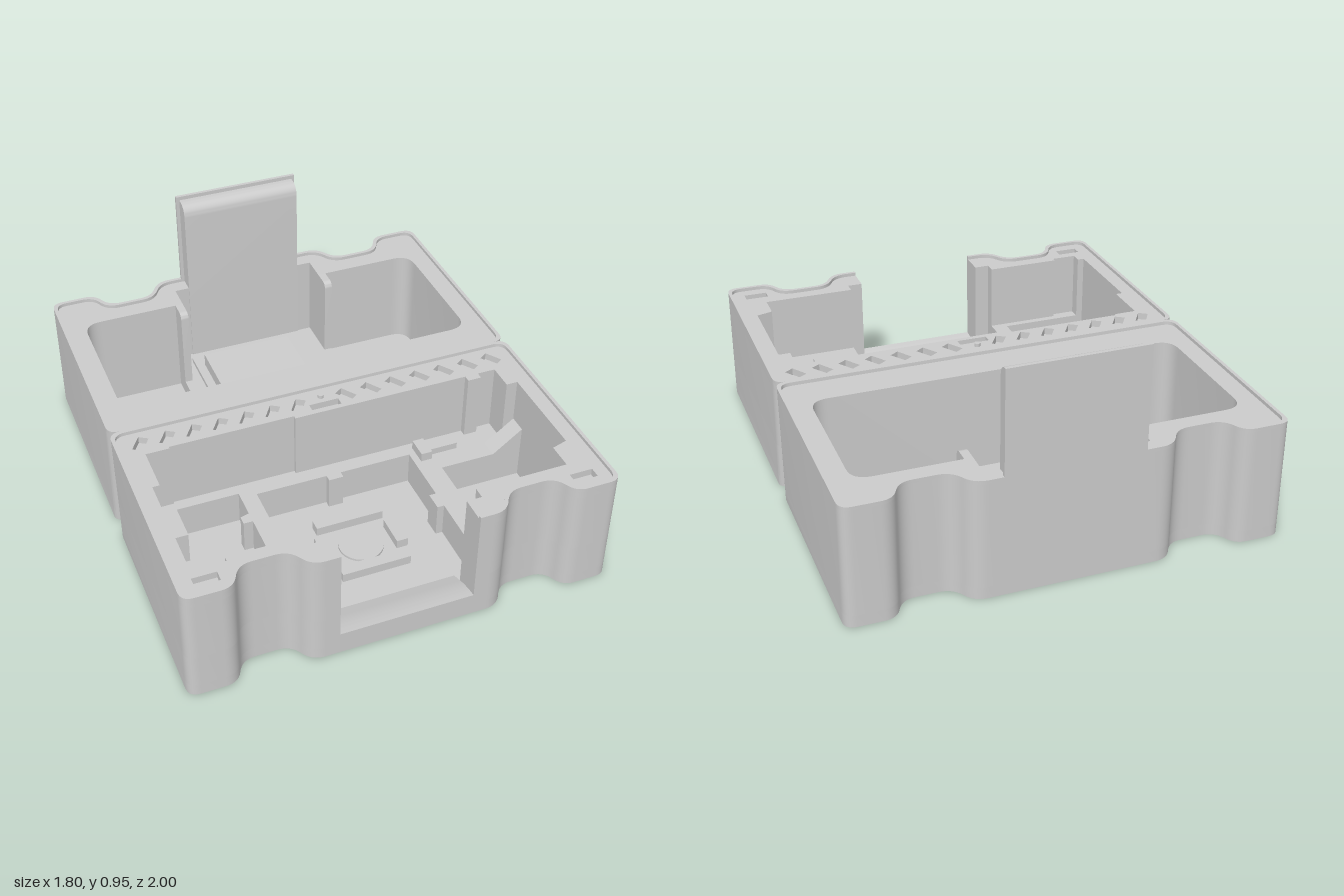
import * as THREE from 'three';
import { toCreasedNormals } from 'three/addons/utils/BufferGeometryUtils.js';

const TOP = 0.515, DECK = 0.5, SLOT = 0.47;
const grey = new THREE.MeshStandardMaterial({ color: 0xcccccc });

// Closed shape from [x, y, cornerRadius] points, always counter-clockwise
function roundedShape(points) {
  const clockwise = THREE.ShapeUtils.isClockWise(points.map(([x, y]) => ({ x, y })));
  const pts = clockwise ? [...points].reverse() : points;
  const shape = new THREE.Shape();
  pts.forEach(([x, y, r = 0], i) => {
    const p = new THREE.Vector2(x, y);
    const toward = (q) => new THREE.Vector2(q[0], q[1]).sub(p).setLength(r).add(p);
    const a = toward(pts[(i + pts.length - 1) % pts.length]);
    const b = toward(pts[(i + 1) % pts.length]);
    if (i === 0) shape.moveTo(a.x, a.y); else shape.lineTo(a.x, a.y);
    if (r) shape.quadraticCurveTo(p.x, p.y, b.x, b.y);
  });
  return shape;
}

function named(name, geometry) {
  const mesh = new THREE.Mesh(geometry, grey);
  mesh.name = name;
  return mesh;
}

// Horizontal slab between two heights; the hinge side leans away towards the bottom
function layer(name, pts, holes, y0, y1, side) {
  const flip = (list) => list.map(([x, z, r]) => [x, -z * side, r]);
  const shape = roundedShape(flip(pts));
  shape.holes = holes.map((h) => roundedShape(flip(h)));
  const geo = new THREE.ExtrudeGeometry(shape, { depth: y1 - y0, bevelEnabled: false, curveSegments: 8 });
  geo.rotateX(-Math.PI / 2).translate(0, y0, 0);
  const pos = geo.attributes.position;
  for (let i = 0; i < pos.count; i++) {
    const z = pos.getZ(i);
    pos.setZ(i, z + side * 0.038 * (1 - pos.getY(i) / TOP) * Math.max(0, 1 - Math.abs(z) / 0.1));
  }
  return named(name, toCreasedNormals(geo, 0.6));
}

// Side profile of [z, y, cornerRadius] points swept from x0 to x1
function sweep(name, profile, x0, x1) {
  const shape = roundedShape(profile.map(([z, y, r]) => [-z, y, r]));
  const geo = new THREE.ExtrudeGeometry(shape, { depth: x1 - x0, bevelEnabled: false, curveSegments: 10 });
  geo.rotateY(Math.PI / 2).translate(x0, 0, 0);
  return named(name, toCreasedNormals(geo, 0.6));
}

// Block whose upper front edge is rounded
const softBlock = (name, x0, x1, y0, y1, z0, z1, r) =>
  sweep(name, [[z0, y0], [z1, y0], [z1, y1, r], [z0, y1]], x0, x1);

function box(name, x0, x1, y0, y1, z0, z1) {
  const mesh = named(name, new THREE.BoxGeometry(x1 - x0, y1 - y0, z1 - z0));
  mesh.position.set((x0 + x1) / 2, (y0 + y1) / 2, (z0 + z1) / 2);
  return mesh;
}

function disc(name, r, y0, y1, z) {
  const mesh = named(name, new THREE.CylinderGeometry(r, r, y1 - y0, 40));
  mesh.position.set(0, (y0 + y1) / 2, z);
  return mesh;
}

// Case outline with finger notches, inset by d, from one side of the opening to the other
function outline(d = 0) {
  const half = [
    [0.285, 1 - d], [0.4 - 0.7 * d, 1 - d, 0.055], [0.455 - 0.7 * d, 0.9 - d, 0.055],
    [0.655 + 0.8 * d, 0.9 - d, 0.055], [0.7 + 0.8 * d, 1 - d, 0.05],
    [0.9 - d, 1 - d, 0.05], [0.9 - d, d, 0.05],
  ];
  return [...half, ...half.map(([x, z, r]) => [-x, z, r]).reverse()];
}

const rect = (x0, x1, z0, z1) => [[x0, z0], [x1, z0], [x1, z1], [x0, z1]];
const rim = (side) => layer('rim', [...outline(), ...outline(0.015).reverse()], [], DECK, TOP, side);

// Recessed deck slots: a slanted row along the hinge, a centre bar and two corners
function deckSlots() {
  const slots = [rect(-0.065, 0.065, 0.105, 0.143)];
  for (const s of [-1, 1]) {
    const c = Math.cos(0.58), n = s * Math.sin(0.58);
    for (let i = 0; i < 7; i++) {
      const cx = s * (0.107 + i * 0.114);
      slots.push(rect(-0.022, 0.022, -0.04, 0.04).map(([x, z]) => [cx + x * c + z * n, 0.09 - x * n + z * c]));
    }
    slots.push(rect(s * 0.78 - 0.05, s * 0.78 + 0.05, 0.89, 0.935));
  }
  return slots;
}

function frontTray() {
  const tray = new THREE.Group();
  tray.name = 'frontTray';

  // Ledge level with a central bay open to the front and two side pockets
  const bay = [
    [-0.285, 0.88], [-0.35, 0.88], [-0.35, 0.66], [-0.32, 0.66], [-0.32, 0.6], [-0.35, 0.6],
    [-0.35, 0.23], [-0.035, 0.23], [-0.035, 0.26], [0.03, 0.26], [0.03, 0.23],
    [0.35, 0.23], [0.35, 0.88], [0.285, 0.88],
  ];
  const leftPocket = [
    [-0.69, 0.2], [-0.42, 0.2], [-0.42, 0.33], [-0.46, 0.34], [-0.46, 0.38], [-0.42, 0.38],
    [-0.42, 0.61], [-0.46, 0.62], [-0.46, 0.66], [-0.42, 0.66], [-0.42, 0.8], [-0.82, 0.8],
    [-0.82, 0.36], [-0.69, 0.36],
  ];
  // Stepped cavity above the ledge
  const cavity = [
    [-0.285, 0.88], [-0.35, 0.88], [-0.35, 0.83], [-0.68, 0.83], [-0.68, 0.85], [-0.79, 0.85],
    [-0.79, 0.8], [-0.82, 0.8], [-0.82, 0.36], [-0.79, 0.36], [-0.79, 0.16], [-0.69, 0.16],
    [-0.69, 0.15], [-0.15, 0.15], [-0.15, 0.165], [0.63, 0.165], [0.63, 0.195], [0.69, 0.195],
    [0.69, 0.165], [0.77, 0.165], [0.77, 0.28], [0.82, 0.28], [0.82, 0.7], [0.75, 0.72],
    [0.75, 0.83], [0.35, 0.83], [0.35, 0.88], [0.285, 0.88],
  ];
  const walls = [...outline(), ...cavity];
  tray.add(
    layer('trayBase', outline(), [], 0, 0.05, 1),
    layer('ledge', [...outline(), ...bay], [leftPocket, rect(0.445, 0.82, 0.36, 0.7)], 0.05, 0.2, 1),
    layer('trayWalls', walls, [], 0.2, SLOT, 1),
    layer('deck', walls, deckSlots(), SLOT, DECK, 1),
    rim(1),
  );

  // Sill sloping up to the front opening
  tray.add(sweep('sill', [[0.83, 0.05], [1, 0.05], [1, 0.1], [0.93, 0.09, 0.05]], -0.285, 0.285));

  // Raised guides and disc on the bay floor
  for (const z of [0.385, 0.675]) tray.add(box('floorGuide', -0.15, 0.15, 0.05, 0.09, z - 0.025, z + 0.025));
  for (const x of [-0.157, 0.157]) tray.add(box('floorGuide', x - 0.025, x + 0.025, 0.05, 0.09, 0.46, 0.6));
  tray.add(disc('floorDisc', 0.095, 0.05, 0.06, 0.53), disc('pin', 0.013, DECK, TOP, 0.07));

  // Small brackets and a ramp in the right-hand corner
  tray.add(
    box('bracketPost', 0.38, 0.43, 0.2, 0.24, 0.195, 0.29),
    box('bracketArm', 0.43, 0.56, 0.2, 0.23, 0.23, 0.265),
    box('sideGuide', 0.32, 0.355, 0.05, 0.2, 0.5, 0.58),
  );
  const wedge = new THREE.ExtrudeGeometry(roundedShape([[0.69, 0.2], [0.82, 0.2], [0.82, 0.3]]), { depth: 0.08, bevelEnabled: false });
  tray.add(named('ramp', wedge.translate(0, 0, 0.28)));
  return tray;
}

function backTray() {
  const tray = new THREE.Group();
  tray.name = 'backTray';
  const halfCavity = [[0.335, 0.92], [0.335, 0.805], [0.8, 0.805, 0.08], [0.8, 0.17, 0.08]];
  const cavity = [...halfCavity, ...halfCavity.map(([x, z, r]) => [-x, z, r]).reverse()];
  tray.add(
    layer('trayBase', outline(), [], 0, 0.05, -1),
    layer('trayWalls', outline(), [cavity], 0.05, DECK, -1),
    rim(-1),
  );

  // Stepped platform with a soft-edged pad, side tabs, end blocks and tall side fins
  tray.add(
    box('platform', -0.37, 0.37, 0.05, 0.12, -0.92, -0.3),
    box('platformStep', -0.29, 0.29, 0.12, 0.14, -0.86, -0.37),
    softBlock('platformPad', -0.25, 0.165, 0.14, 0.2, -0.79, -0.44, 0.055),
  );
  for (const s of [-1, 1]) {
    const x0 = s * 0.3525 - 0.0175, x1 = x0 + 0.035;
    tray.add(
      box('platformTab', s * 0.39 - 0.02, s * 0.39 + 0.02, 0.05, 0.12, -0.49, -0.44),
      softBlock('platformBlock', s * 0.335 - 0.035, s * 0.335 + 0.035, 0.12, 0.17, -0.37, -0.3, 0.02),
      softBlock('sideFin', x0, x1, 0.05, DECK, -0.805, -0.72, 0.03),
    );
  }
  return tray;
}

// Upright door: thin back plate and a thicker body with a rounded top edge
function door() {
  const group = new THREE.Group();
  group.name = 'door';
  group.add(
    box('doorPlate', -0.285, 0.285, 0.05, 0.952, -1, -0.985),
    softBlock('doorBody', -0.27, 0.27, 0.05, 0.935, -0.987, -0.915, 0.055),
  );
  return group;
}

export function createModel() {
  const model = new THREE.Group();
  model.name = 'hingedCase';
  model.add(frontTray(), backTray(), door());
  return model;
}
